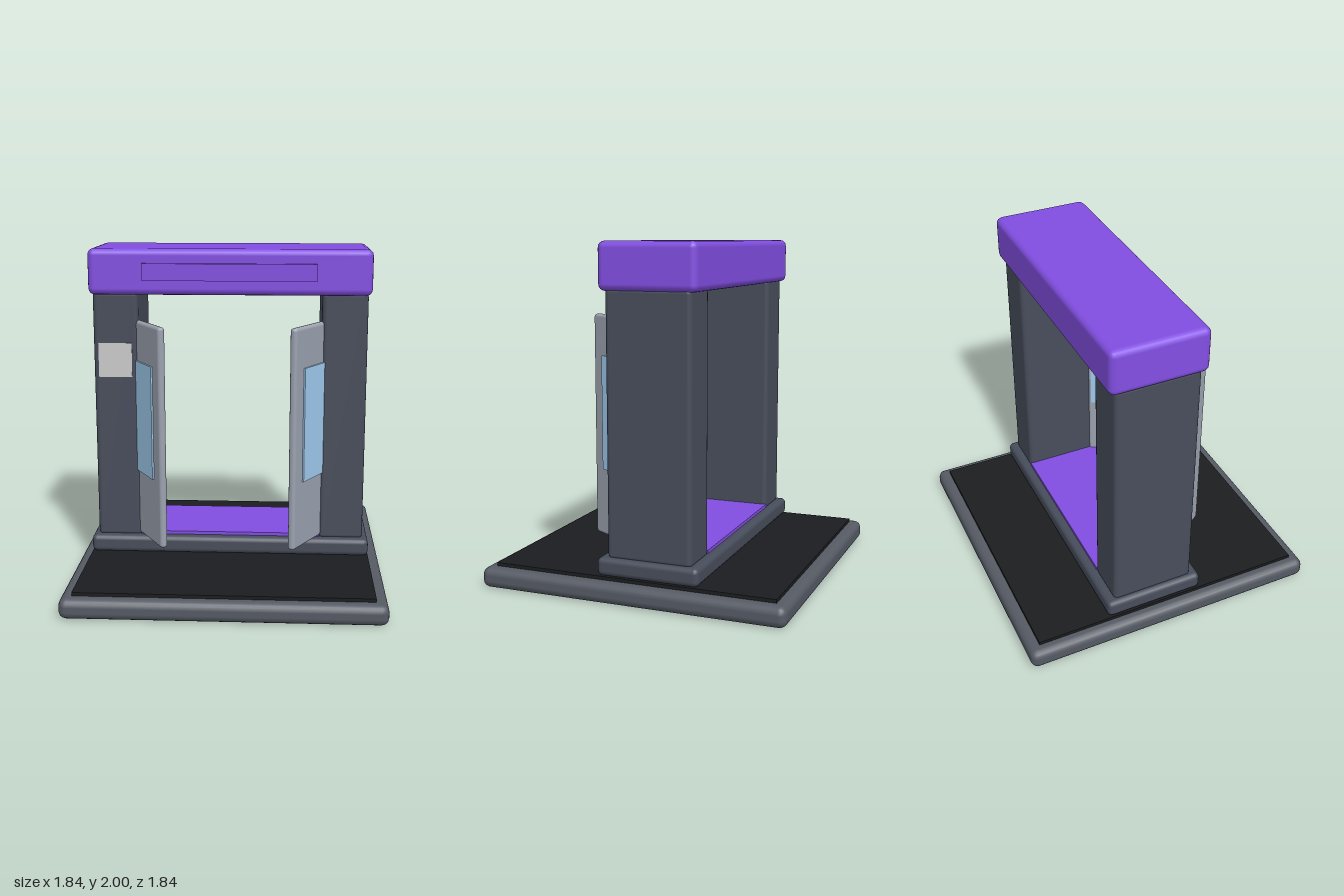
import * as THREE from 'three';
import { RoundedBoxGeometry } from 'three/addons/geometries/RoundedBoxGeometry.js';

const mat = (color) => new THREE.MeshStandardMaterial({ color });
const DEPTH_CENTRE = -0.1; // the arch stands slightly behind the middle of the base

export function createModel() {
  const group = new THREE.Group();
  const stone = mat(0x555a64);
  const slate = mat(0x474d5b);
  const black = mat(0x1c1d20);
  const purple = mat(0x824ee2);
  const doorGrey = mat(0x9ca3b0);
  const glass = mat(0xa0ccf0);
  const label = mat(0xcccccc);

  // Box with optional bevel radius, placed by its centre
  function box(parent, name, material, [w, h, d], [x, y, z], bevel = 0) {
    const geometry = bevel
      ? new RoundedBoxGeometry(w, h, d, 2, bevel)
      : new THREE.BoxGeometry(w, h, d);
    const mesh = new THREE.Mesh(geometry, material);
    mesh.name = name;
    mesh.position.set(x, y, z);
    parent.add(mesh);
    return mesh;
  }

  // Base platform, floor mat and plinth
  box(group, 'basePlatform', stone, [1.84, 0.12, 1.84], [0, 0.06, 0], 0.045);
  box(group, 'floorMat', black, [1.7, 0.03, 1.7], [0, 0.125, 0]);
  box(group, 'plinth', slate, [1.7, 0.105, 0.61], [0, 0.1925, DEPTH_CENTRE], 0.03);
  box(group, 'walkway', purple, [1.1, 0.03, 0.505], [0, 0.25, DEPTH_CENTRE]);

  // Header beam with raised plate
  box(group, 'headerBeam', purple, [1.67, 0.27, 0.58], [0, 1.865, DEPTH_CENTRE], 0.038);
  box(group, 'headerPlate', purple, [1.02, 0.1, 0.05], [0, 1.867, 0.19]);

  // Posts and open doors, mirrored left and right
  for (const side of [-1, 1]) {
    const sideName = side > 0 ? 'left' : 'right';
    box(group, `${sideName}Post`, slate, [0.27, 1.52, 0.506], [side * 0.68, 0.99, DEPTH_CENTRE], 0.028);

    // Door group: origin at the free end, local +x runs back to the hinge
    const door = new THREE.Group();
    door.name = `${sideName}Door`;
    door.position.set(side * 0.372, 0, 0.421);
    door.rotation.y = side > 0 ? Math.PI / 3 : (2 * Math.PI) / 3;
    box(door, 'doorPanel', doorGrey, [0.38, 1.325, 0.045], [0.19, 0.9125, 0], 0.02);
    // Window pane stands prouder on the outer face
    box(door, 'doorWindow', glass, [0.265, 0.68, 0.057], [0.2275, 0.995, side * 0.004]);
    group.add(door);
  }

  // Small panel on the front of the right post
  box(group, 'postPanel', label, [0.2, 0.205, 0.012], [-0.685, 1.3375, 0.15]);

  return group;
}
